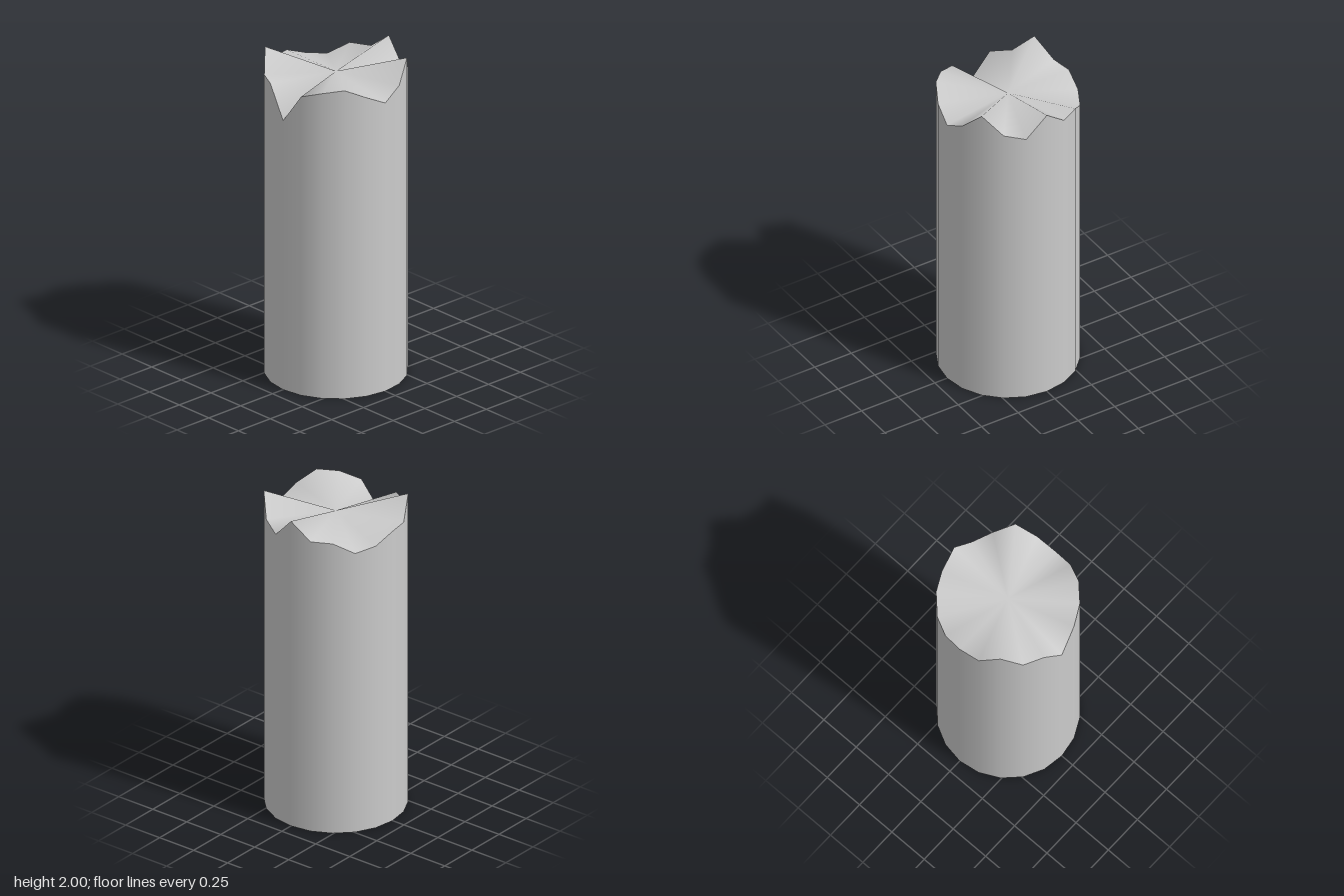
import * as THREE from 'three';
import { mergeVertices } from 'three/addons/utils/BufferGeometryUtils.js';

const RADIUS = 0.416;
const CENTRE_Y = 1.88;
// Rim height at each of the 20 corners, from the front (+z) round towards +x
const RIM = [
  1.695, 1.88, 1.92, 1.94, 1.88, 1.815, 1.88, 2.0, 1.88, 1.845,
  1.98, 1.88, 1.88, 1.81, 1.83, 1.88, 1.88, 2.0, 1.88, 1.88,
];
const SIDES = RIM.length;

// Rim height above the corner nearest to (x, z)
function rimHeight(x, z) {
  const k = Math.round((Math.atan2(x, z) / (2 * Math.PI)) * SIDES);
  return RIM[(k + SIDES) % SIDES];
}

export function createModel() {
  const group = new THREE.Group();
  group.name = 'brokenColumn';
  const material = new THREE.MeshStandardMaterial({ color: 0xcccccc });
  const add = (name, geometry) => {
    const mesh = new THREE.Mesh(geometry, material);
    mesh.name = name;
    group.add(mesh);
  };

  // Shaft: smooth open cylinder whose upper ring follows the jagged rim
  const shaft = new THREE.CylinderGeometry(RADIUS, RADIUS, 1, SIDES, 1, true);
  shaft.translate(0, 0.5, 0);
  const s = shaft.attributes.position;
  for (let i = 0; i < s.count; i++) {
    if (s.getY(i) > 0.5) s.setY(i, rimHeight(s.getX(i), s.getZ(i)));
  }
  add('shaft', shaft);

  // Broken top: a fan from the centre to the jagged rim, smoothly shaded
  let top = new THREE.CircleGeometry(RADIUS, SIDES).rotateX(-Math.PI / 2);
  top.deleteAttribute('uv');
  top.deleteAttribute('normal');
  top = mergeVertices(top);
  const t = top.attributes.position;
  for (let i = 0; i < t.count; i++) {
    const x = t.getX(i), z = t.getZ(i);
    t.setY(i, Math.hypot(x, z) < 0.01 ? CENTRE_Y : rimHeight(x, z));
  }
  top.computeVertexNormals();
  add('brokenTop', top);

  // Flat underside
  add('base', new THREE.CircleGeometry(RADIUS, SIDES).rotateX(Math.PI / 2));

  return group;
}
